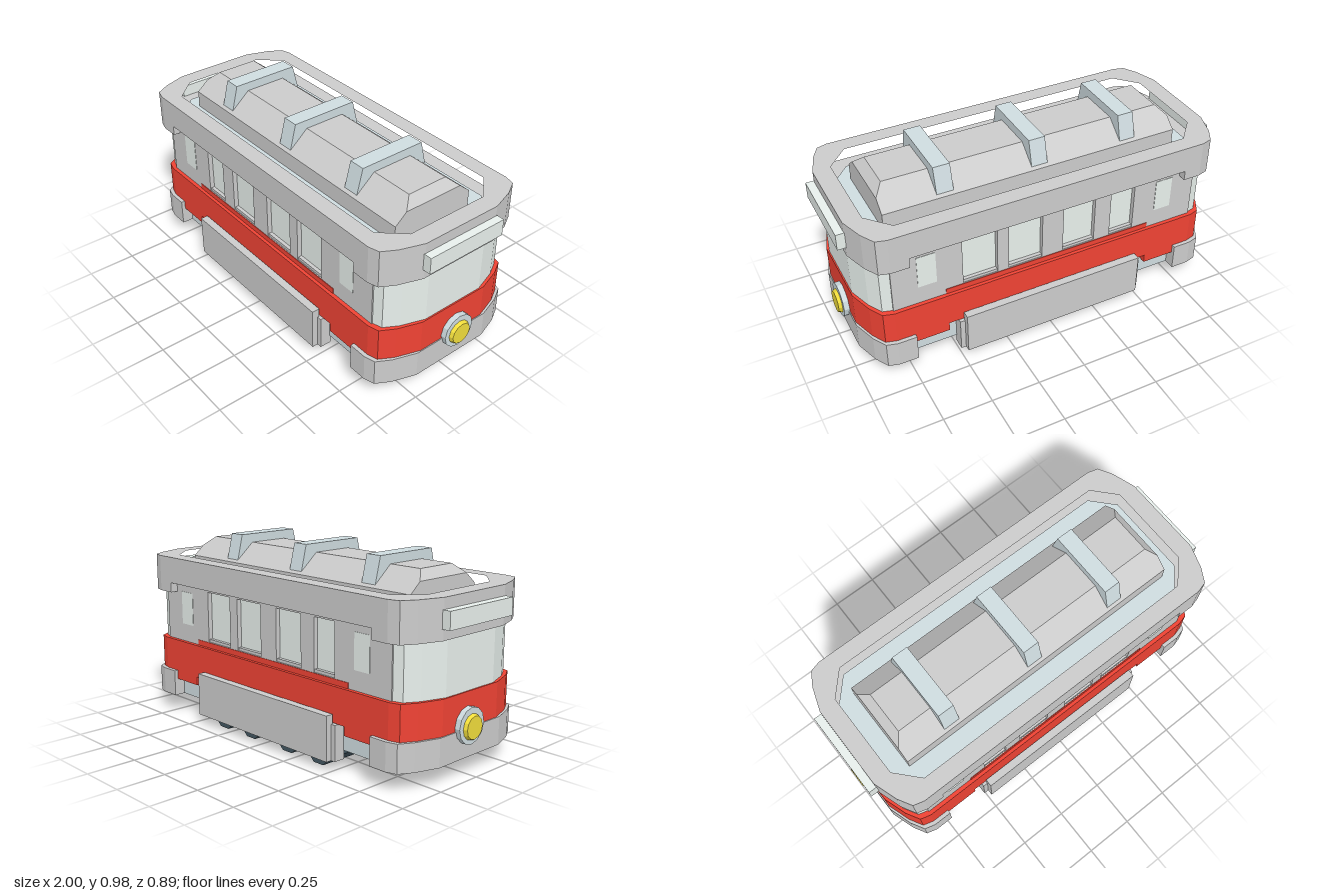
import * as THREE from 'three';

const mat = (color) => new THREE.MeshStandardMaterial({ color, flatShading: true });
const grey = mat(0xcccccc), red = mat(0xf04334), glass = mat(0xe8f0ec);
const steel = mat(0xcfdce0), dark = mat(0x42555f), yellow = mat(0xf0dc3c);

// One rounded corner of the tram's plan, from the long side to the end
const CORNER = [[0.826, 0.42], [0.88, 0.405], [0.92, 0.335], [0.96, 0.215]];
const HOLE = [[0.765, 0.335], [0.87, 0.22]];

// Full plan outline from one corner, mirrored to four
function plan(corner, dx = 0, dz = 0) {
  const c = corner.map(([x, z]) => [x - dx, z - dz]);
  const r = [...c].reverse();
  return [...c, ...r.map(([x, z]) => [x, -z]), ...c.map(([x, z]) => [-x, -z]), ...r.map(([x, z]) => [-x, z])];
}

// Plan of one end only, cut off at x0
function endPlan(x0, s, dx = 0, dz = 0) {
  const c = CORNER.map(([x, z]) => [x - dx, z - dz]);
  const pts = [[x0, c[0][1]], ...c, ...[...c].reverse().map(([x, z]) => [x, -z]), [x0, -c[0][1]]];
  return pts.map(([x, z]) => [s * x, z]);
}

const toShape = (pts) => new THREE.Shape(pts.map(([x, y]) => new THREE.Vector2(x, y)));

export function createModel() {
  const model = new THREE.Group();

  function add(name, geo, material, x = 0, y = 0, z = 0) {
    const m = new THREE.Mesh(geo, material);
    m.name = name;
    m.position.set(x, y, z);
    model.add(m);
    return m;
  }
  // Box given by its limits
  function box(name, material, x0, x1, y0, y1, z0, z1) {
    return add(name, new THREE.BoxGeometry(x1 - x0, y1 - y0, z1 - z0), material,
      (x0 + x1) / 2, (y0 + y1) / 2, (z0 + z1) / 2);
  }
  // Plan outline raised from y0 to y1
  function slab(name, material, pts, y0, y1, hole) {
    const shape = toShape(pts);
    if (hole) shape.holes.push(toShape(hole));
    const geo = new THREE.ExtrudeGeometry(shape, { depth: y1 - y0, bevelEnabled: false });
    return add(name, geo.rotateX(-Math.PI / 2), material, 0, y0, 0);
  }

  // Body: floor, red band, window panes
  box('floor', grey, -0.74, 0.74, 0.18, 0.24, -0.35, 0.35);
  slab('redBand', red, plan(CORNER, 0.005, 0.02), 0.225, 0.4);
  box('windowPanes', glass, -0.81, 0.81, 0.4, 0.72, -0.356, 0.356);

  // Roof: slab, raised rim and sunken deck
  slab('roofSlab', grey, plan(CORNER), 0.715, 0.74);
  slab('roofRim', grey, plan(CORNER), 0.74, 0.853, plan(HOLE));
  slab('roofDeck', steel, plan(HOLE), 0.735, 0.752);

  for (const s of [-1, 1]) {
    // Ends: bumper, end window, roof skirt, sign board, headlight
    slab('bumper', grey, endPlan(0.73, s), 0.09, 0.228);
    slab('endWindow', glass, endPlan(0.8, s, 0.012, 0.045), 0.4, 0.72);
    slab('roofEndSkirt', grey, endPlan(0.735, s), 0.663, 0.715);
    const ends = [s * 0.94, s].sort((a, b) => a - b);
    box('signBoard', glass, ...ends, 0.715, 0.8, -0.222, 0.222);
    const ring = new THREE.CylinderGeometry(0.088, 0.088, 0.045, 12).rotateZ(-s * Math.PI / 2);
    add('headlightRing', ring, steel, s * 0.96, 0.245, -0.022);
    const lamp = new THREE.CylinderGeometry(0.055, 0.066, 0.025, 12).rotateZ(-s * Math.PI / 2);
    add('headlightLamp', lamp, yellow, s * 0.9875, 0.24, -0.022);

    // Side wall with window openings
    const wall = toShape([[-0.82, 0.4], [0.82, 0.4], [0.82, 0.72], [-0.82, 0.72]]);
    for (const [a, b] of [[-0.47, -0.335], [-0.245, -0.07], [0.045, 0.225], [0.285, 0.465]]) {
      wall.holes.push(toShape([[a, 0.43], [a, 0.695], [b, 0.695], [b, 0.43]]));
      box('windowSill', grey, a, b, 0.43, 0.445, s * 0.365 - 0.01, s * 0.365 + 0.01);
    }
    const wallGeo = new THREE.ExtrudeGeometry(wall, { depth: 0.03, bevelEnabled: false });
    add('sideWall', wallGeo, grey, 0, 0, s * 0.365 - 0.015);
    for (const x of [-0.643, 0.645]) {
      box('smallWindow', glass, x - 0.047, x + 0.047, 0.495, 0.67, s * 0.376 - 0.006, s * 0.376 + 0.006);
    }

    // Red side panels above and below the band
    box('redUpperPanel', red, -0.56, 0.555, 0.39, 0.428, s * 0.372 - 0.011, s * 0.372 + 0.011);
    for (const e of [-1, 1]) {
      box('redLowerPanel', red, e * 0.645 - 0.09, e * 0.645 + 0.09, 0.18, 0.23, s * 0.38 - 0.02, s * 0.38 + 0.02);
    }

    // Frame rail and side skirt over the rollers
    box('frameRail', steel, -0.74, 0.74, 0.09, 0.24, s * 0.335 - 0.025, s * 0.335 + 0.025);
    box('skirtBack', grey, -0.51, 0.505, 0.046, 0.222, s * 0.385 - 0.03, s * 0.385 + 0.03);
    box('skirtPanel', grey, -0.485, 0.48, 0.046, 0.268, s * 0.425 - 0.02, s * 0.425 + 0.02);
  }

  // Eight-sided rollers underneath, resting on a flat side
  const roller = new THREE.CylinderGeometry(0.0833, 0.0833, 0.8, 8).rotateX(Math.PI / 2).rotateZ(Math.PI / 8);
  for (const x of [-0.385, -0.165, 0.11, 0.325]) add('roller', roller, dark, x, 0.077, 0);

  // Raised lantern roof: loft of chamfered rectangles
  const levels = [[0.74, 0.78, 0.225], [0.838, 0.78, 0.225], [0.89, 0.78, 0.163], [0.935, 0.735, 0.11]];
  const pos = levels.flatMap(([y, x, z]) => [x, y, z, x, y, -z, -x, y, -z, -x, y, z]);
  const idx = [12, 13, 14, 12, 14, 15];
  for (let l = 0; l < 3; l++) {
    for (let i = 0; i < 4; i++) {
      const a = l * 4 + i, b = l * 4 + (i + 1) % 4;
      idx.push(a, b, b + 4, a, b + 4, a + 4);
    }
  }
  const lantern = new THREE.BufferGeometry();
  lantern.setAttribute('position', new THREE.Float32BufferAttribute(pos, 3));
  lantern.setIndex(idx);
  lantern.computeVertexNormals();
  add('lanternRoof', lantern, grey);

  // Straps across the lantern roof
  const strap = toShape([[-0.213, 0.84], [0.213, 0.84], [0.178, 0.98], [-0.178, 0.98]]);
  const strapGeo = new THREE.ExtrudeGeometry(strap, { depth: 0.085, bevelEnabled: false });
  strapGeo.translate(0, 0, -0.0425).rotateY(Math.PI / 2);
  for (const x of [-0.515, -0.025, 0.465]) add('roofStrap', strapGeo, steel, x, 0, 0);

  return model;
}
